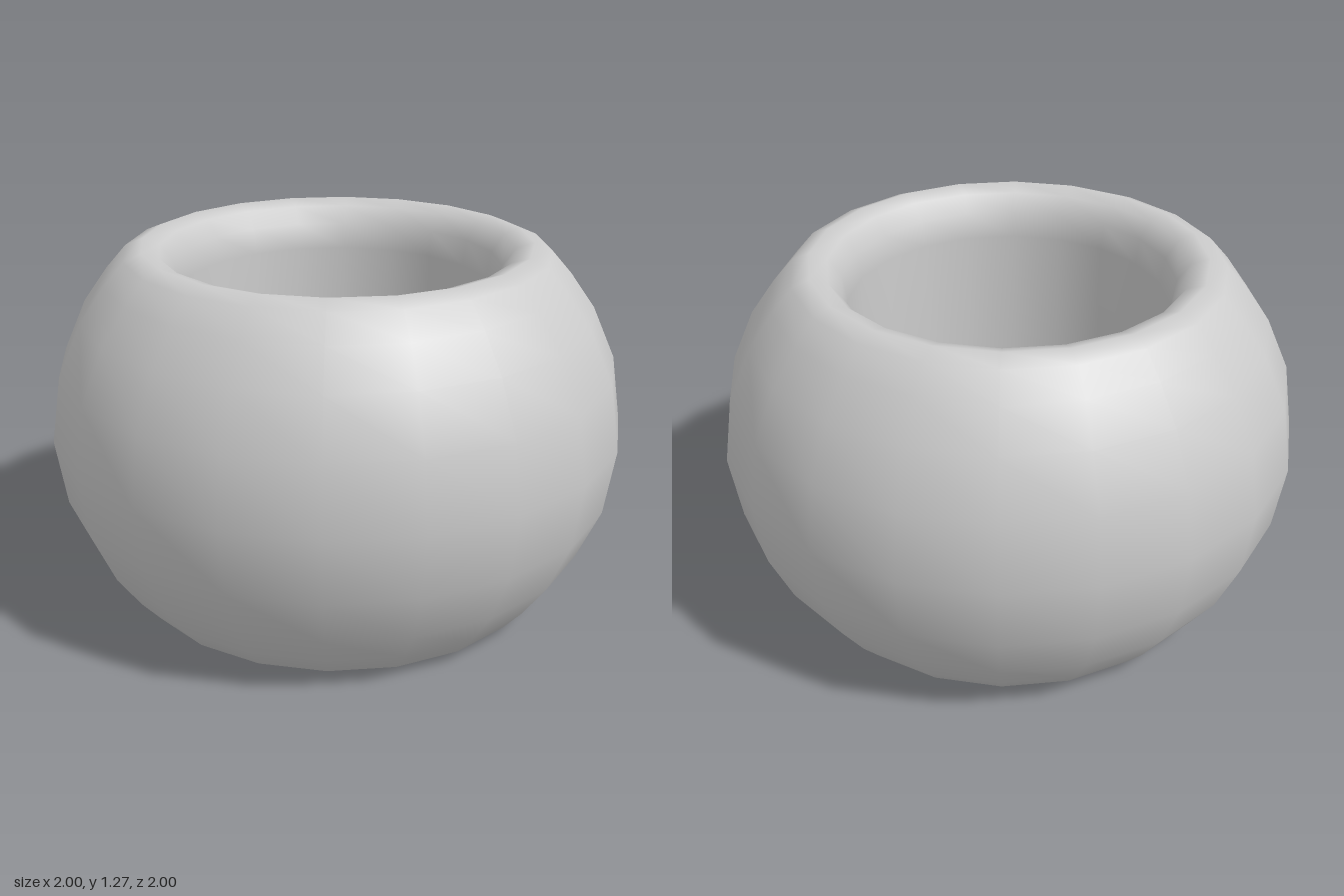
import * as THREE from 'three';

const HEIGHT = 1.27;
const SIDES = 20;

export function createModel() {
  const group = new THREE.Group();
  group.name = 'bead';

  // Upper half of the wall section, from the equator over the rim into the bore
  const upper = [
    [1, 0.635], [0.965, 0.865], [0.885, 1.045], [0.8, 1.165], [0.73, 1.245],
    [0.67, 1.27], [0.61, 1.25], [0.565, 1.19], [0.55, 1.1], [0.55, 0.635],
  ];
  // Mirror it below the equator so the section runs bore, bottom, outside, top, bore
  const lower = upper.slice(1).reverse().map(([r, y]) => [r, HEIGHT - y]);
  const profile = [...lower, ...upper].map(([r, y]) => new THREE.Vector2(r, y));

  const ring = new THREE.Mesh(
    new THREE.LatheGeometry(profile, SIDES),
    new THREE.MeshStandardMaterial({ color: 0xcccccc })
  );
  ring.name = 'roundedRing';
  group.add(ring);
  return group;
}
